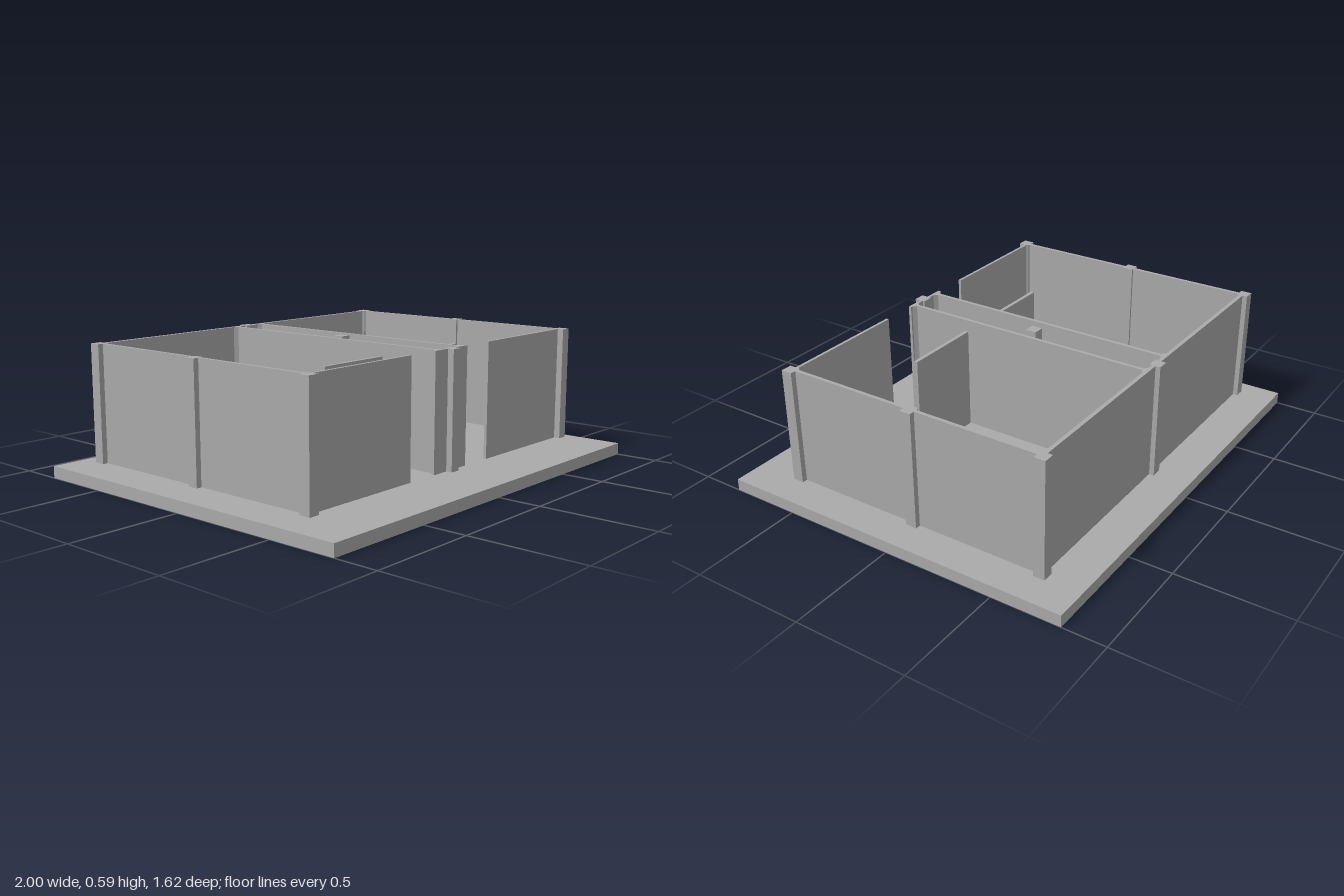
import * as THREE from 'three';

export function createModel() {
  const model = new THREE.Group();
  model.name = 'floorPlan';
  const concrete = new THREE.MeshStandardMaterial({ color: 0xaaaaaa });
  concrete.name = 'concrete grey';

  const BOTTOM = 0.072, TOP = 0.587;

  // Box given by its extents
  function block(name, x0, x1, z0, z1, y0 = BOTTOM, y1 = TOP) {
    const mesh = new THREE.Mesh(new THREE.BoxGeometry(x1 - x0, y1 - y0, z1 - z0), concrete);
    mesh.position.set((x0 + x1) / 2, (y0 + y1) / 2, (z0 + z1) / 2);
    mesh.name = name;
    model.add(mesh);
  }

  // Small triangular fillet in an inside corner; sx, sz point into the room
  function fillet(x, z, sx, sz, size = 0.015) {
    const shape = new THREE.Shape([
      new THREE.Vector2(x, -z),
      new THREE.Vector2(x + sx * size, -z),
      new THREE.Vector2(x, -z - sz * size),
    ]);
    const geometry = new THREE.ExtrudeGeometry(shape, { depth: TOP - BOTTOM, bevelEnabled: false });
    geometry.rotateX(-Math.PI / 2);
    const mesh = new THREE.Mesh(geometry, concrete);
    mesh.position.y = BOTTOM;
    mesh.name = 'cornerFillet';
    model.add(mesh);
  }

  // Ground slab
  block('slab', -1, 1, -0.81, 0.81, 0, 0.053);

  // Three by three grid of square columns
  const half = 0.025;
  for (const x of [-0.86, 0, 0.86]) {
    for (const z of [-0.64, -0.04, 0.565]) {
      block('column', x - half, x + half, z - half, z + half);
    }
  }

  // Walls shared by both sides
  block('backWall', -0.86, 0.86, -0.643, -0.626);
  block('frontCentreWall', -0.11, 0.11, 0.549, 0.562);

  // Walls mirrored left and right
  for (const s of [-1, 1]) {
    const mirrored = (name, a, b, z0, z1, y1) =>
      block(name, Math.min(s * a, s * b), Math.max(s * a, s * b), z0, z1, BOTTOM, y1);
    mirrored('sideWall', 0.845, 0.861, -0.64, 0.56);
    mirrored('corridorWall', 0.07, 0.086, -0.63, 0.555);
    mirrored('frontWall', 0.267, 0.855, 0.549, 0.562);
    mirrored('partition', 0.08, 0.447, 0.25, 0.267, 0.533);

    for (const [z, sz] of [[-0.626, 1], [0.549, -1]]) {
      fillet(s * 0.845, z, -s, sz);
      fillet(s * 0.086, z, s, sz);
      fillet(s * 0.07, z, -s, sz);
    }
  }
  return model;
}
